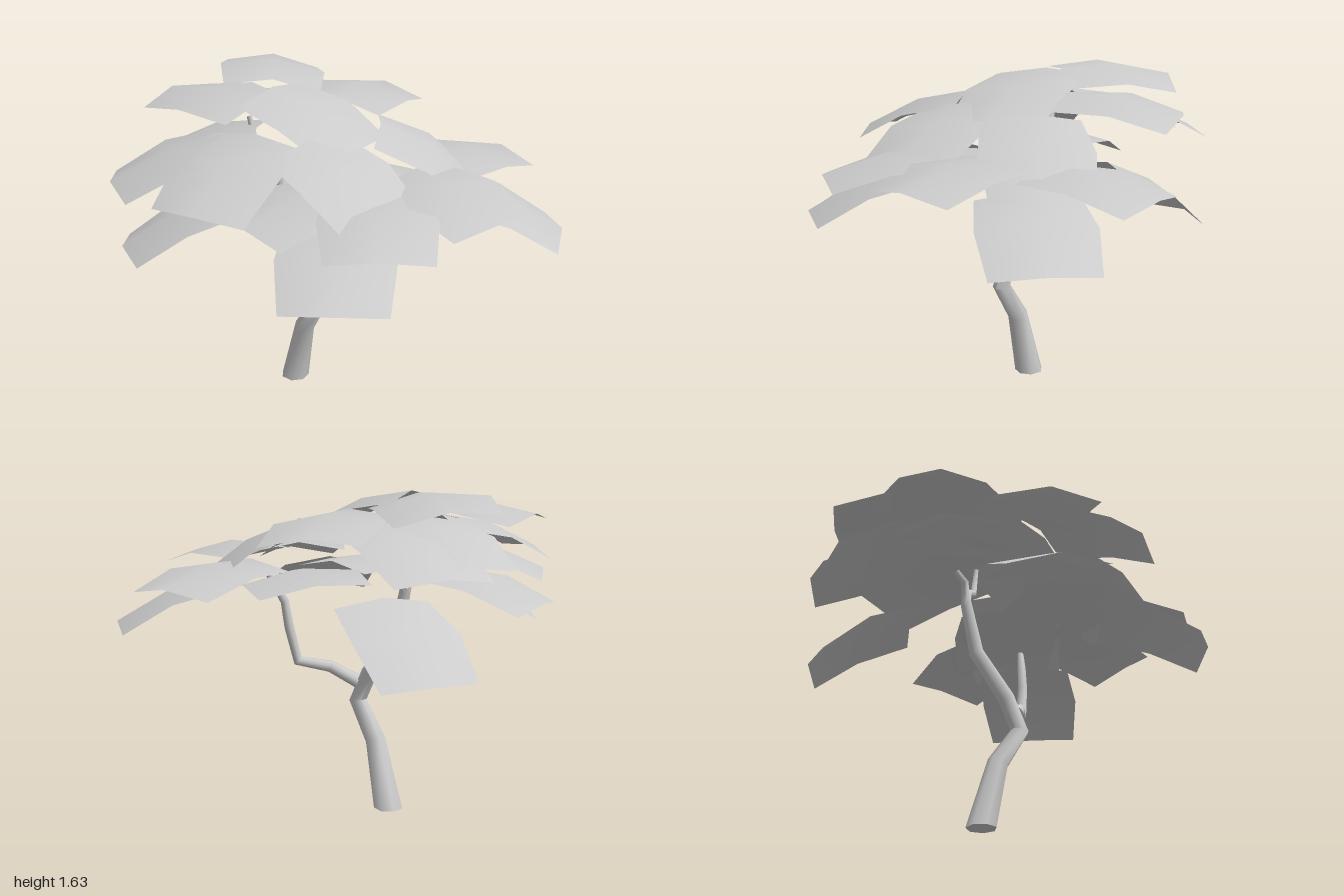
import * as THREE from 'three';
import { toCreasedNormals } from 'three/addons/utils/BufferGeometryUtils.js';

const material = new THREE.MeshStandardMaterial({ color: 0xcccccc, side: THREE.DoubleSide });

// Tapered limb through [x, y, z, radius] points, closed at both ends
function limb(name, points, sides = 7) {
  const centres = points.map(([x, y, z]) => new THREE.Vector3(x, y, z));
  const up = new THREE.Vector3(0, 1, 0);
  const positions = [], index = [];
  const last = points.length - 1;
  centres.forEach((c, i) => {
    const tangent = centres[Math.min(i + 1, last)].clone().sub(centres[Math.max(i - 1, 0)]).normalize();
    if (i === 0 && c.y === 0) tangent.copy(up);
    const turn = new THREE.Quaternion().setFromUnitVectors(up, tangent);
    for (let s = 0; s < sides; s++) {
      const a = (s / sides) * Math.PI * 2;
      const r = points[i][3];
      const p = new THREE.Vector3(Math.sin(a) * r, 0, Math.cos(a) * r).applyQuaternion(turn).add(c);
      positions.push(p.x, p.y, p.z);
    }
  });
  for (let i = 0; i < last; i++) {
    for (let s = 0; s < sides; s++) {
      const a = i * sides + s, b = i * sides + (s + 1) % sides;
      index.push(a, b, b + sides, a, b + sides, a + sides);
    }
  }
  for (let s = 1; s < sides - 1; s++) {
    const e = last * sides;
    index.push(0, s + 1, s, e, e + s, e + s + 1);
  }
  const geometry = new THREE.BufferGeometry();
  geometry.setAttribute('position', new THREE.Float32BufferAttribute(positions, 3));
  geometry.setIndex(index);
  const mesh = new THREE.Mesh(toCreasedNormals(geometry, 1.1), material);
  mesh.name = name;
  return mesh;
}

// Domed leaf pad: three bulging edges and a straight inner edge, outer edge at +z
function padGeometry() {
  const geometry = new THREE.PlaneGeometry(2, 2, 2, 2).rotateX(-Math.PI / 2);
  const p = geometry.attributes.position;
  for (let i = 0; i < p.count; i++) {
    const u = p.getX(i), v = p.getZ(i);
    const x = u * (0.24 + 0.03 * (1 - v * v));
    const z = v * 0.275 + (v > 0 ? 0.035 * (1 - u * u) : 0);
    p.setXYZ(i, x, 0.045 - 0.045 * u * u - 0.04 * v * v, z);
  }
  geometry.computeVertexNormals();
  return geometry;
}

// Each pad: x, y, z of its centre, then heading, downward tilt and sideways roll in degrees
const upperPads = [
  [0.11, 1.583, -0.62, 145, 4, 6],
  [0.42, 1.49, -0.28, 115, 8, 3],
  [-0.05, 1.52, -0.045, 15, 18, 0],
  [-0.28, 1.53, -0.55, 195, 3, 0],
  [-0.69, 1.38, -0.30, -112, 18, 3],
  [-0.62, 1.40, 0.05, -65, 20, 0],
  [-0.19, 1.37, 0.38, 5, 22, 0],
  [0.39, 1.33, 0.29, 48, 30, 0],
  [0.27, 1.39, -0.67, 160, 18, 0],
  [0.09, 1.42, -0.66, 157, 18, 0],
  [-0.37, 1.32, -0.53, 225, 16, 0],
];
const lowerPads = [
  [0.69, 1.24, 0.23, 97, 8, 0],
  [0.64, 1.085, 0.58, 50, 23, 0],
  [0.21, 1.28, 0.655, 0, 7, 0],
  [-0.22, 1.26, 0.64, -38, 9, 0],
  [-0.42, 1.11, 0.60, -40, 22, 0],
  [-0.69, 1.085, -0.25, -112, 22, 6],
  [-0.32, 1.20, 0.18, -90, 6, 0],
  [0.31, 1.00, -0.66, 160, 32, 0],
  [-0.24, 1.19, -0.66, 195, 14, 0],
  [0.20, 1.18, 0.12, 60, 5, 0],
];

function padLayer(name, pads, geometry) {
  const layer = new THREE.Group();
  layer.name = name;
  for (const [x, y, z, ...angles] of pads) {
    const [heading, tilt, roll] = angles.map(THREE.MathUtils.degToRad);
    const pad = new THREE.Mesh(geometry, material);
    pad.name = 'leafPad';
    pad.position.set(x, y, z);
    pad.rotation.set(tilt, heading, roll, 'YXZ');
    layer.add(pad);
  }
  return layer;
}

export function createModel() {
  const tree = new THREE.Group();
  tree.name = 'tree';

  // Crooked trunk and its long forward branch
  tree.add(limb('trunk', [
    [-0.08, 0, -0.195, 0.074], [-0.08, 0.34, -0.105, 0.052], [-0.08, 0.53, 0.02, 0.046],
    [-0.08, 0.69, -0.06, 0.042], [-0.08, 0.89, -0.235, 0.037], [-0.08, 1.15, -0.30, 0.028],
  ]));
  tree.add(limb('branch', [
    [-0.08, 0.62, 0.0, 0.036], [0.04, 0.71, 0.10, 0.03], [0.17, 0.745, 0.20, 0.028],
    [0.2, 0.92, 0.232, 0.025], [0.22, 1.05, 0.24, 0.022], [0.29, 1.19, 0.28, 0.015],
  ]));

  // Thin twigs at the top of the trunk
  tree.add(limb('frontTwig', [
    [-0.08, 1.13, -0.3, 0.024], [-0.02, 1.25, -0.25, 0.02], [0.06, 1.31, -0.17, 0.017], [0.07, 1.46, -0.15, 0.013],
  ], 6));
  tree.add(limb('backTwig', [
    [-0.08, 1.13, -0.3, 0.024], [-0.1, 1.25, -0.32, 0.02], [-0.14, 1.30, -0.43, 0.017], [-0.15, 1.42, -0.46, 0.013],
  ], 6));

  // Overlapping foliage canopy
  const geometry = padGeometry();
  tree.add(padLayer('upperFoliage', upperPads, geometry));
  tree.add(padLayer('lowerFoliage', lowerPads, geometry));
  return tree;
}
